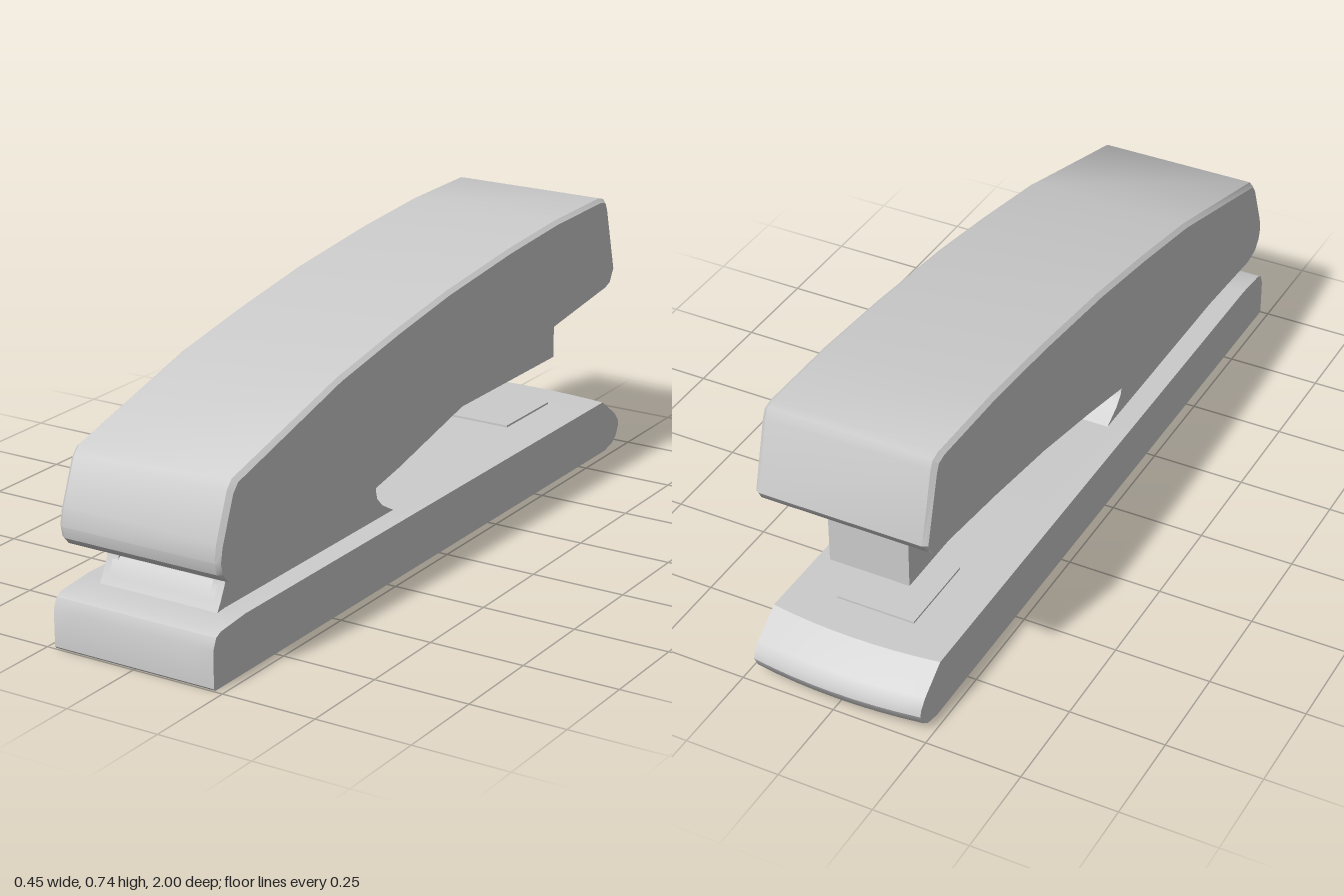
import * as THREE from 'three';
import { toCreasedNormals } from 'three/addons/utils/BufferGeometryUtils.js';

const material = new THREE.MeshStandardMaterial({ color: 0xcccccc });

// Extrudes a side profile of [z, y] points across x, centred on x = 0.
// An optional rule moves each vertex afterwards.
function sideExtrude(name, profile, width, steps = 1, rule = null) {
  const shape = new THREE.Shape(profile.map(([z, y]) => new THREE.Vector2(-z, y)));
  const geometry = new THREE.ExtrudeGeometry(shape, { depth: width, steps, bevelEnabled: false });
  geometry.rotateY(Math.PI / 2).translate(-width / 2, 0, 0);
  if (rule) {
    const p = geometry.attributes.position;
    const v = new THREE.Vector3();
    for (let i = 0; i < p.count; i++) {
      rule(v.fromBufferAttribute(p, i));
      p.setXYZ(i, v.x, v.y, v.z);
    }
  }
  const mesh = new THREE.Mesh(toCreasedNormals(geometry, 0.6), material);
  mesh.name = name;
  return mesh;
}

function box(name, w, h, d, x, y, z) {
  const mesh = new THREE.Mesh(new THREE.BoxGeometry(w, h, d), material);
  mesh.position.set(x, y, z);
  mesh.name = name;
  return mesh;
}

export function createModel() {
  const model = new THREE.Group();
  model.name = 'stapler';
  const half = 0.227;

  // Base: flat slab with a rounded nose that bows out in plan
  const baseProfile = [
    [1, 0.006], [1, 0.1], [0.988, 0.128], [0.97, 0.137], [0.87, 0.146], [-0.9, 0.148],
    [-0.975, 0.095], [-0.995, 0.072], [-1, 0.055], [-0.985, 0.025], [-0.965, 0.01], [-0.92, 0], [0.994, 0],
  ];
  model.add(sideExtrude('base', baseProfile, half * 2, 8, (v) => {
    if (v.z < -0.89) v.z += 0.018 * (v.x / half) ** 2;
  }));

  // Plate that folds the staples
  model.add(box('anvilPlate', 0.21, 0.012, 0.23, 0, 0.147, -0.675));

  // Hinge bracket: low floor between two side walls
  const bracketFoot = [[0.12, 0.14], [0.13, 0.147], [0.18, 0.175], [0.205, 0.2]];
  const bracketFront = [[0.868, 0.2], [0.885, 0.165], [0.9, 0.14]];
  const bracket = new THREE.Group();
  bracket.name = 'hingeBracket';
  bracket.add(sideExtrude('bracketFloor', [...bracketFoot, [0.215, 0.206], [0.86, 0.206], ...bracketFront], 0.3));
  for (const side of [1, -1]) {
    const wall = sideExtrude('bracketWall',
      [...bracketFoot, [0.21, 0.22], [0.21, 0.3], [0.86, 0.3], [0.86, 0.22], ...bracketFront], 0.033);
    wall.position.x = side * 0.1515;
    bracket.add(wall);
  }
  model.add(bracket);

  // Staple magazine under the cover
  model.add(box('magazine', 0.216, 0.24, 1.1, 0, 0.4, -0.26));

  // Cover: arched body, its upper and end edges chamfered along both sides
  const coverProfile = [
    [0.965, 0.27], [0.935, 0.245], [0.89, 0.234], [0.6, 0.25], [0.33, 0.268], [0.2, 0.292],
    [-0.1, 0.36], [-0.35, 0.41], [-0.6, 0.447], [-0.88, 0.481], [-0.905, 0.49], [-0.932, 0.525],
    [-0.885, 0.71], [-0.875, 0.73], [-0.85, 0.737], [-0.6, 0.733], [-0.35, 0.715], [-0.04, 0.682],
    [0.2, 0.645], [0.46, 0.598], [0.9, 0.482], [0.92, 0.46], [0.965, 0.345], [0.972, 0.3],
  ];
  const chamfer = 0.012;
  model.add(sideExtrude('cover', coverProfile, half * 2, 3, (v) => {
    if (Math.abs(v.x) < half * 0.9) {
      v.x = Math.sign(v.x) * (half - chamfer);
      return;
    }
    const above = v.y - (0.38 - 0.14 * v.z);
    if (above > 0.1) v.y -= 0.009;
    if (above > 0 && Math.abs(v.z) > 0.84) v.z -= Math.sign(v.z) * 0.008;
  }));

  return model;
}
